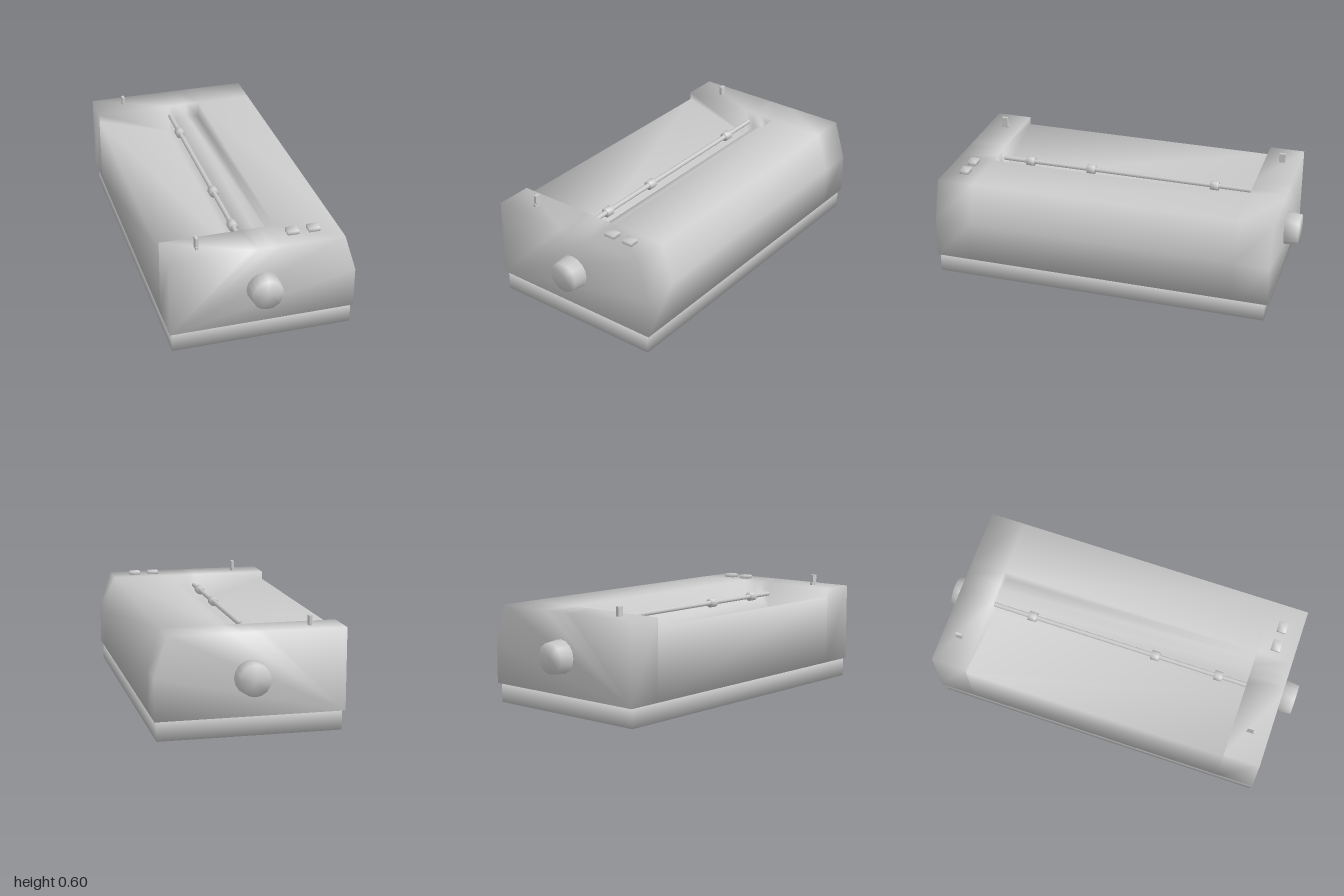
import * as THREE from 'three';
import { mergeVertices } from 'three/addons/utils/BufferGeometryUtils.js';

// Shared vertices give soft shading across the edges
function soften(geometry) {
  geometry.deleteAttribute('normal');
  geometry.deleteAttribute('uv');
  const merged = mergeVertices(geometry);
  merged.computeVertexNormals();
  return merged;
}

// Skin a list of cross-sections (counter-clockwise, z ascending) and cap both ends
function loft(sections) {
  const n = sections[0].points.length;
  const positions = [];
  const index = [];
  for (const { z, points } of sections) {
    for (const [x, y] of points) positions.push(x, y, z);
  }
  for (let i = 0; i < sections.length - 1; i++) {
    for (let j = 0; j < n; j++) {
      const a = i * n + j;
      const b = i * n + (j + 1) % n;
      const c = b + n;
      const d = a + n;
      index.push(a, b, d, b, c, d);
    }
  }
  const outline = sections[0].points.map(([x, y]) => new THREE.Vector2(x, y));
  const last = (sections.length - 1) * n;
  for (const [a, b, c] of THREE.ShapeUtils.triangulateShape(outline, [])) {
    index.push(c, b, a, last + a, last + b, last + c);
  }
  const geometry = new THREE.BufferGeometry();
  geometry.setAttribute('position', new THREE.Float32BufferAttribute(positions, 3));
  geometry.setIndex(index);
  return soften(geometry);
}

export function createModel() {
  const model = new THREE.Group();
  const material = new THREE.MeshStandardMaterial({ color: 0xcccccc, side: THREE.DoubleSide });

  function add(name, geometry, x, y, z) {
    const mesh = new THREE.Mesh(geometry, material);
    mesh.name = name;
    mesh.position.set(x, y, z);
    model.add(mesh);
    return mesh;
  }

  // Casing: full section at the ends, paper tray and trough between them
  const top = 0.535;
  const shell = [[-0.49, 0.105], [0.49, 0.105], [0.49, 0.325], [0.425, top], [0.115, top]];
  const trough = [[0.115, 0.44], [0.04, 0.46], [-0.02, 0.44], [-0.07, 0.37], [-0.49, 0.49]];
  const full = [...shell, ...trough.map(([x]) => [x, top])];
  const cut = [...shell, ...trough];
  add('casing', loft([
    { z: -0.923, points: full },
    { z: -0.73, points: full },
    { z: -0.73, points: cut },
    { z: 0.725, points: cut },
    { z: 0.725, points: full },
    { z: 0.923, points: full },
  ]), 0, 0, 0);

  // Recessed plinth
  add('base', soften(new THREE.BoxGeometry(0.955, 0.11, 1.82)), 0, 0.055, 0.005);

  // Rod with three rollers
  const rodX = -0.06;
  const rodY = 0.47;
  add('rod', new THREE.CylinderGeometry(0.013, 0.013, 1.455, 8), rodX, rodY, -0.0025).rotation.x = Math.PI / 2;
  for (const z of [-0.505, 0.205, 0.565]) {
    add('roller', soften(new THREE.CylinderGeometry(0.026, 0.026, 0.045, 10)), rodX, rodY, z).rotation.x = Math.PI / 2;
  }

  // Tapered end knobs
  for (const side of [-1, 1]) {
    const knob = soften(new THREE.CylinderGeometry(0.082, 0.092, 0.09, 16));
    add('knob', knob, 0, 0.306, side * 0.955).rotation.x = side * Math.PI / 2;
  }

  // Paper release levers
  for (const [z, height] of [[0.82, 0.06], [-0.827, 0.05]]) {
    add('lever', new THREE.BoxGeometry(0.015, height, 0.034), -0.323, top + height / 2, z);
  }
  add('leverFoot', new THREE.BoxGeometry(0.015, 0.014, 0.046), -0.323, top + 0.007, 0.82);

  // Control buttons
  for (const x of [0.18, 0.292]) {
    add('button', soften(new THREE.BoxGeometry(0.06, 0.024, 0.05)), x, top + 0.008, 0.815);
  }

  return model;
}
